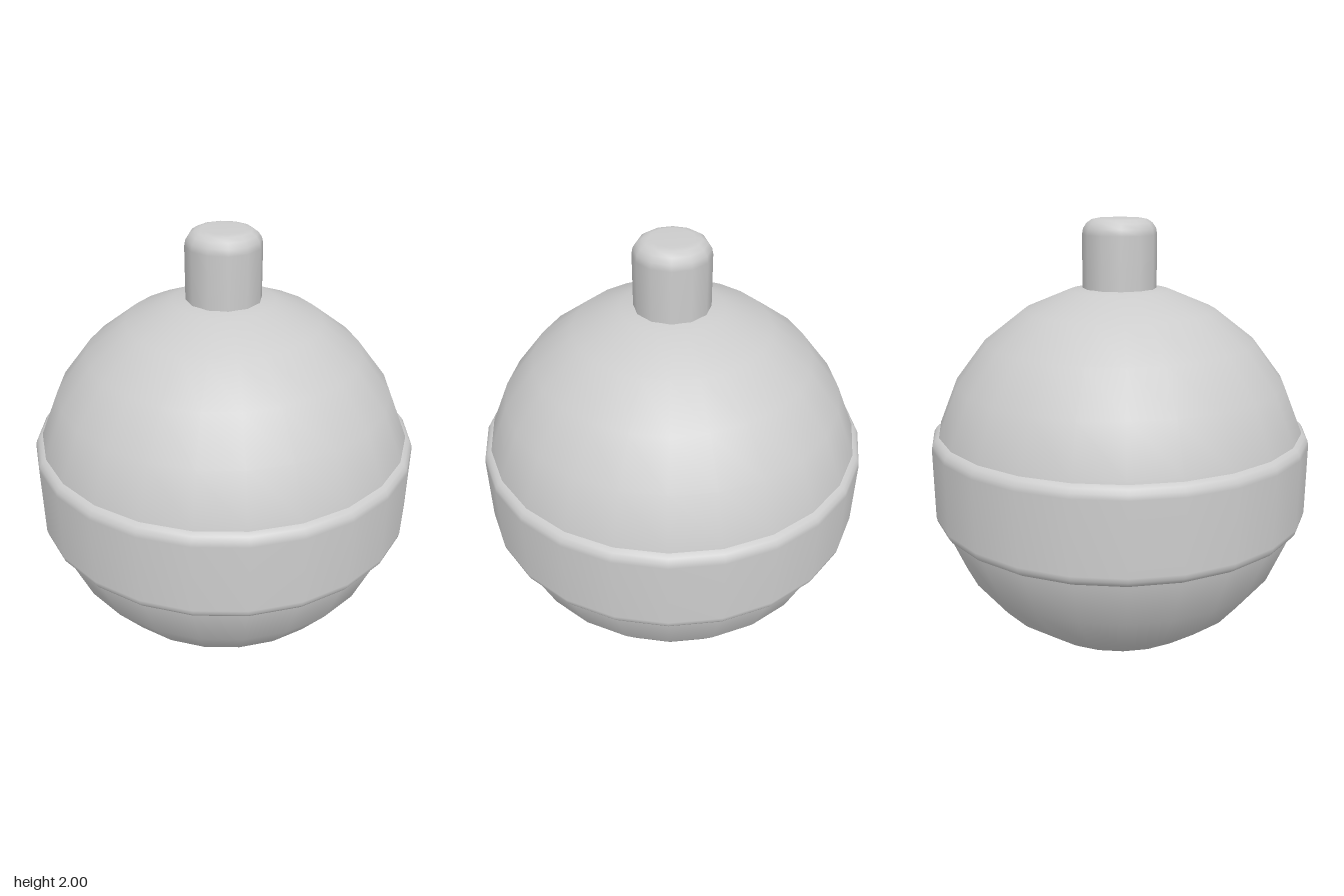
import * as THREE from 'three';

// Profile corner rounded by a quarter arc
function arc(cx, cy, r, from, to, steps) {
  const pts = [];
  for (let i = 0; i <= steps; i++) {
    const a = from + (to - from) * i / steps;
    pts.push(new THREE.Vector2(cx + r * Math.cos(a), cy + r * Math.sin(a)));
  }
  return pts;
}

export function createModel() {
  const group = new THREE.Group();
  const grey = new THREE.MeshStandardMaterial({ color: 0xcccccc });
  grey.name = 'light grey';
  const add = (name, geometry) => {
    const mesh = new THREE.Mesh(geometry, grey);
    mesh.name = name;
    group.add(mesh);
    return mesh;
  };
  const mid = 0.86;

  // Round body
  add('ball', new THREE.SphereGeometry(0.86, 24, 12)).position.y = mid;

  // Raised band with rounded edges around the middle
  const bevel = 0.055, half = 0.215, outer = 0.867;
  add('band', new THREE.LatheGeometry([
    new THREE.Vector2(0.77, mid - half),
    ...arc(outer - bevel, mid - half + bevel, bevel, -Math.PI / 2, 0, 4),
    ...arc(outer - bevel, mid + half - bevel, bevel, 0, Math.PI / 2, 4),
    new THREE.Vector2(0.77, mid + half),
  ], 24));

  // Stem on top with a rounded cap
  add('stem', new THREE.LatheGeometry([
    new THREE.Vector2(0.165, 1.6),
    ...arc(0.095, 1.93, 0.07, 0, Math.PI / 2, 4),
    new THREE.Vector2(0, 2),
  ], 12));

  return group;
}
